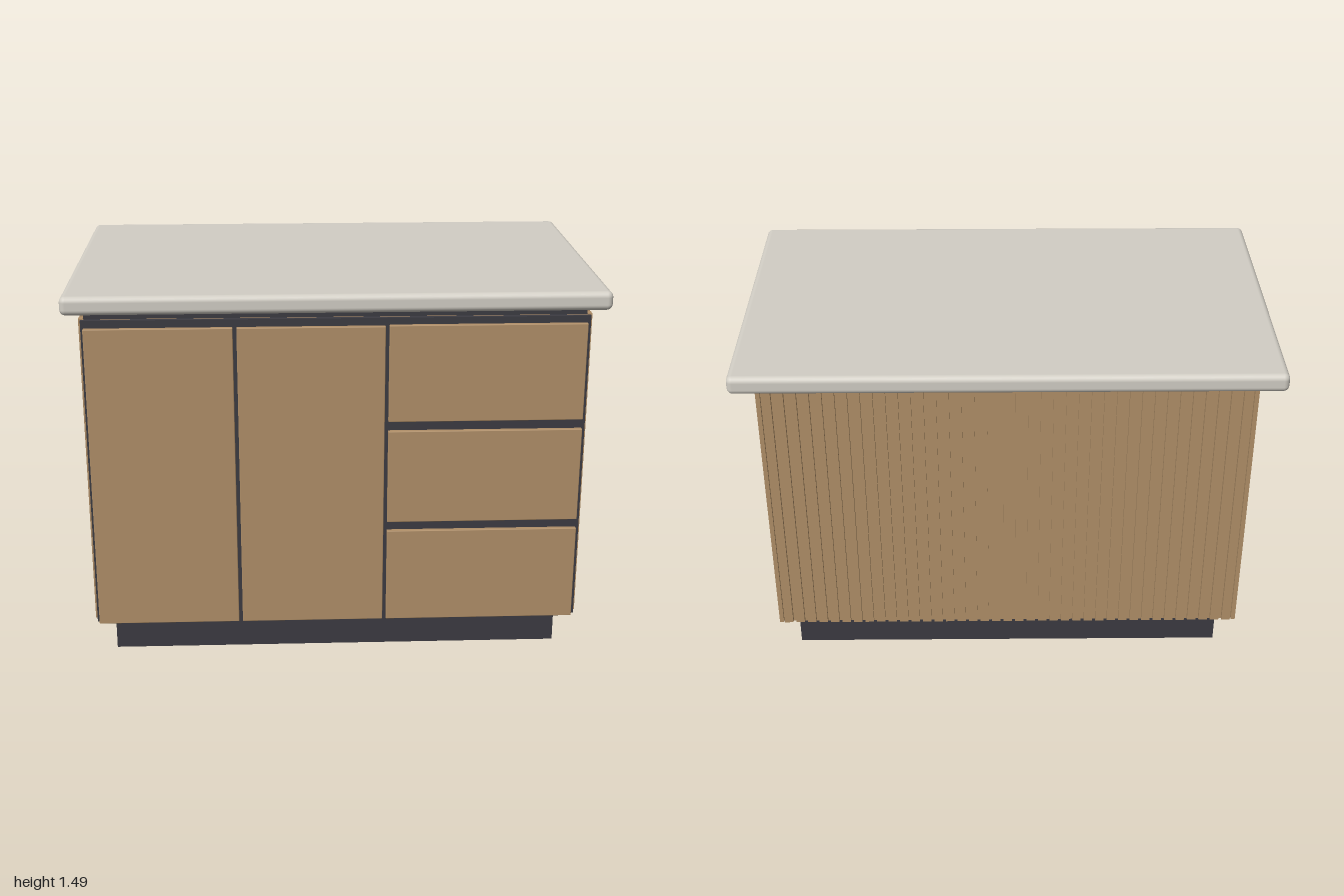
import * as THREE from 'three';
import { RoundedBoxGeometry } from 'three/addons/geometries/RoundedBoxGeometry.js';

const material = (name, color) => {
  const m = new THREE.MeshStandardMaterial({ color });
  m.name = name;
  return m;
};

export function createModel() {
  const island = new THREE.Group();
  island.name = 'kitchenIsland';
  const wood = material('oak', 0xb08f68);
  const stone = material('paleStone', 0xd2cec5);
  const dark = material('charcoal', 0x3c3b42);

  // Box given by its limits on each axis, with an optional rounded edge
  const box = (name, mat, [x0, x1], [y0, y1], [z0, z1], radius = 0, parent = island) => {
    const size = [x1 - x0, y1 - y0, z1 - z0];
    const geometry = radius
      ? new RoundedBoxGeometry(...size, 4, radius)
      : new THREE.BoxGeometry(...size);
    const mesh = new THREE.Mesh(geometry, mat);
    mesh.name = name;
    mesh.position.set((x0 + x1) / 2, (y0 + y1) / 2, (z0 + z1) / 2);
    parent.add(mesh);
    return mesh;
  };

  // Main stack: plinth, carcass, recessed neck and worktop
  box('plinth', dark, [-0.875, 0.875], [0, 0.155], [-0.3, 0.465]);
  box('carcass', wood, [-0.93, 0.93], [0.155, 1.375], [-0.355, 0.53]);
  box('shadowGapNeck', dark, [-0.928, 0.928], [1.375, 1.415], [-0.35, 0.515]);
  box('worktop', stone, [-1, 1], [1.415, 1.485], [-0.622, 0.622], 0.022);

  // Dark backing that shows in the gaps between the fronts
  box('frontBacking', dark, [-0.937, 0.937], [0.158, 1.378], [0.53, 0.547]);

  // Two doors
  [[-0.928, -0.383], [-0.369, 0.178]].forEach((x) => {
    box('door', wood, x, [0.157, 1.35], [0.547, 0.567], 0.003);
  });

  // Three drawers with finger gaps between them
  [[0.157, 0.533], [0.57, 0.94], [0.978, 1.353]].forEach((y) => {
    box('drawerFront', wood, [0.192, 0.925], y, [0.547, 0.567], 0.003);
  });

  // Vertical slats on both sides and the back
  const slats = new THREE.Group();
  slats.name = 'slats';
  island.add(slats);
  const half = 0.0175;
  const height = [0.16, 1.378];
  for (let i = 0; i < 19; i++) {
    const z = 0.5 - i * 0.0473;
    for (const side of [-1, 1]) {
      const x = side > 0 ? [0.93, 0.947] : [-0.947, -0.93];
      box('sideSlat', wood, x, height, [z - half, z + half], 0, slats);
    }
  }
  const count = 39;
  for (let i = 0; i < count; i++) {
    const x = (i - (count - 1) / 2) * 0.0478;
    box('backSlat', wood, [x - half, x + half], height, [-0.372, -0.355], 0, slats);
  }

  return island;
}
